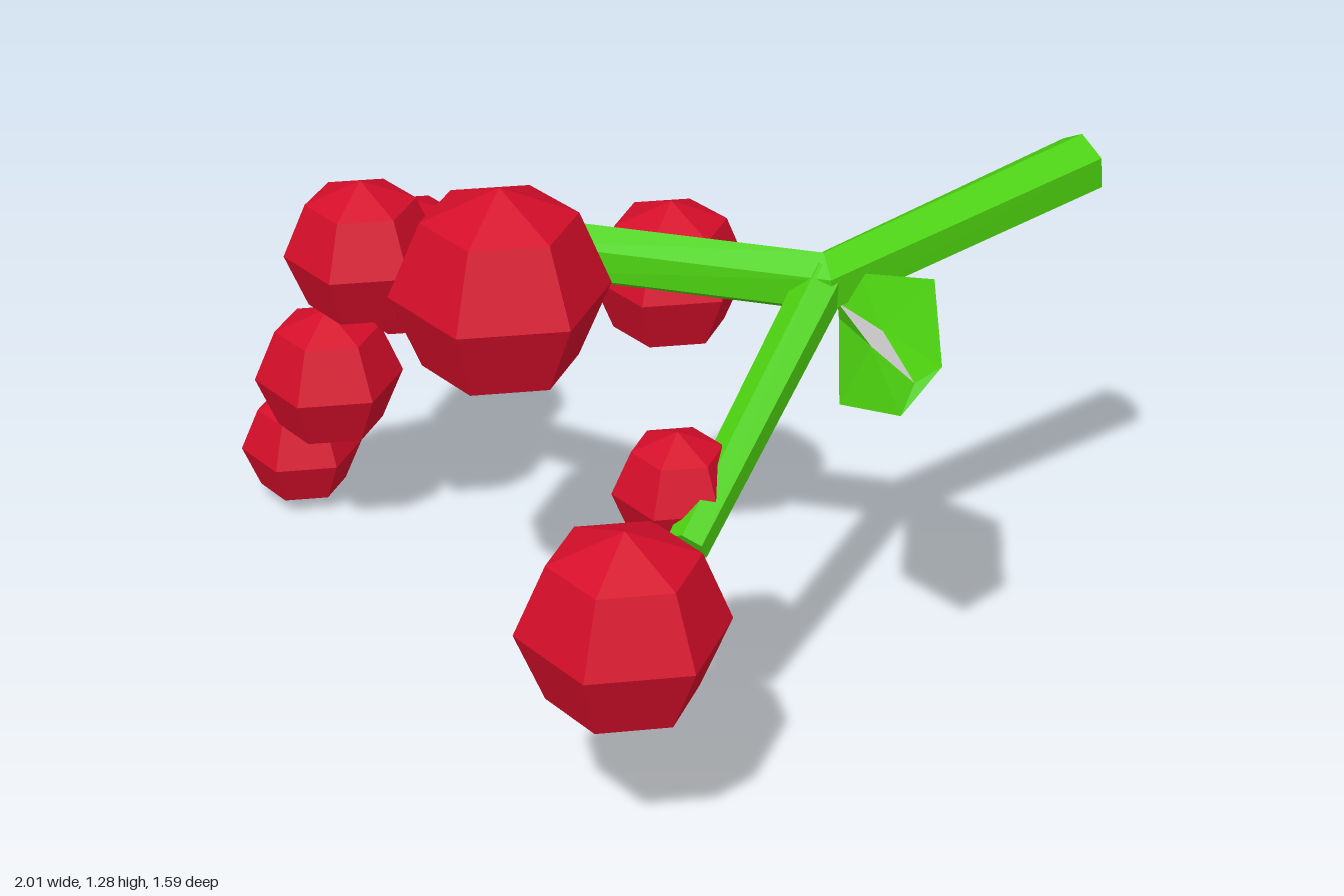
import * as THREE from 'three';

const mat = (color, extra = {}) => new THREE.MeshStandardMaterial({ color, flatShading: true, ...extra });

function facets(points, triangles) {
  const geo = new THREE.BufferGeometry();
  geo.setAttribute('position', new THREE.Float32BufferAttribute(points.flat(), 3));
  geo.setIndex(triangles.flat());
  const flat = geo.toNonIndexed();
  flat.computeVertexNormals();
  return flat;
}

// Six-sided tapering stem through mitred joints; each joint is [x, y, z, radius]
function stemGeometry(joints) {
  const sides = 6, points = [], triangles = [];
  const at = joints.map(([x, y, z]) => new THREE.Vector3(x, y, z));
  const up = new THREE.Vector3(0, 1, 0);
  const last = joints.length - 1;
  at.forEach((p, i) => {
    const dirIn = at[Math.max(i, 1)].clone().sub(at[Math.max(i, 1) - 1]).normalize();
    const j = Math.min(i, last - 1);
    const dirOut = at[j + 1].clone().sub(at[j]).normalize();
    const dir = dirIn.add(dirOut).normalize();
    const side = new THREE.Vector3().crossVectors(dir, up).normalize();
    const top = new THREE.Vector3().crossVectors(side, dir);
    for (let k = 0; k < sides; k++) {
      const a = (k / sides) * Math.PI * 2, r = joints[i][3];
      points.push(p.clone().addScaledVector(top, r * Math.cos(a)).addScaledVector(side, r * Math.sin(a)).toArray());
    }
  });
  for (let i = 0; i < last; i++) {
    for (let k = 0; k < sides; k++) {
      const a = i * sides + k, b = i * sides + (k + 1) % sides;
      triangles.push([a, b, a + sides], [b, b + sides, a + sides]);
    }
  }
  // End caps
  for (let k = 1; k < sides - 1; k++) {
    const e = last * sides;
    triangles.push([0, k + 1, k], [e, e + k, e + k + 1]);
  }
  return facets(points, triangles);
}

export function createModel() {
  const group = new THREE.Group();
  const green = mat(0x4cd010), red = mat(0xd50d2a);
  const leafGreen = mat(0x4cd010, { side: THREE.DoubleSide });
  const grey = mat(0xcccccc, { side: THREE.DoubleSide });
  const add = (name, geo, material) => {
    const mesh = new THREE.Mesh(geo, material);
    mesh.name = name;
    group.add(mesh);
    return mesh;
  };

  // Stems
  add('mainStem', stemGeometry([
    [0.955, 1.11, -0.755, 0.072], [0.55, 1.02, -0.17, 0.07], [-0.11, 1.035, -0.07, 0.068],
    [-0.57, 0.82, -0.32, 0.06], [-0.85, 0.24, -0.58, 0.02],
  ]), green);
  add('sideStem', stemGeometry([[0.55, 1.03, -0.17, 0.055], [0.46, 0.685, 0.42, 0.045]]), green);

  // Berries: x, y, z, radius
  const berry = new THREE.SphereGeometry(1, 6, 4).rotateY(Math.PI / 2);
  [
    [-0.05, 1.05, 0.165, 0.235], [-0.49, 0.93, -0.105, 0.173], [-0.55, 0.705, -0.485, 0.174],
    [-0.69, 0.465, -0.328, 0.174], [0.175, 0.93, -0.257, 0.174], [0.39, 0.735, 0.292, 0.135],
    [0.38, 0.565, 0.57, 0.225], [-0.853, 0.15, -0.498, 0.147], [-0.905, 0.135, -0.61, 0.11],
  ].forEach(([x, y, z, r], i) => {
    const mesh = add(`berry${i + 1}`, berry, red);
    mesh.position.set(x, y, z);
    mesh.scale.setScalar(r);
  });

  // Leaf: flat outer face (corners 0-5), inner halves rising to the midrib (6-9)
  const leaf = [
    [0.62, 1.04, -0.2], [0.815, 1.13, -0.06], [0.895, 1.05, 0.15],
    [0.83, 0.95, 0.2], [0.65, 0.845, 0.02], [0.58, 0.93, -0.19],
    [0.58, 0.975, -0.175], [0.725, 1.015, -0.015], [0.845, 1.01, 0.165], [0.705, 0.98, -0.005],
  ];
  add('leaf', facets(leaf, [
    [0, 1, 2], [0, 2, 3], [0, 3, 5], [3, 4, 5],
    [0, 6, 7], [0, 7, 1], [1, 7, 2], [7, 8, 2],
    [5, 9, 6], [5, 4, 9], [4, 3, 9], [9, 3, 8],
    [6, 0, 5], [8, 3, 2],
  ]), leafGreen);
  add('leafMidrib', facets(leaf.slice(6), [[0, 3, 1], [3, 2, 1]]), grey);

  return group;
}
